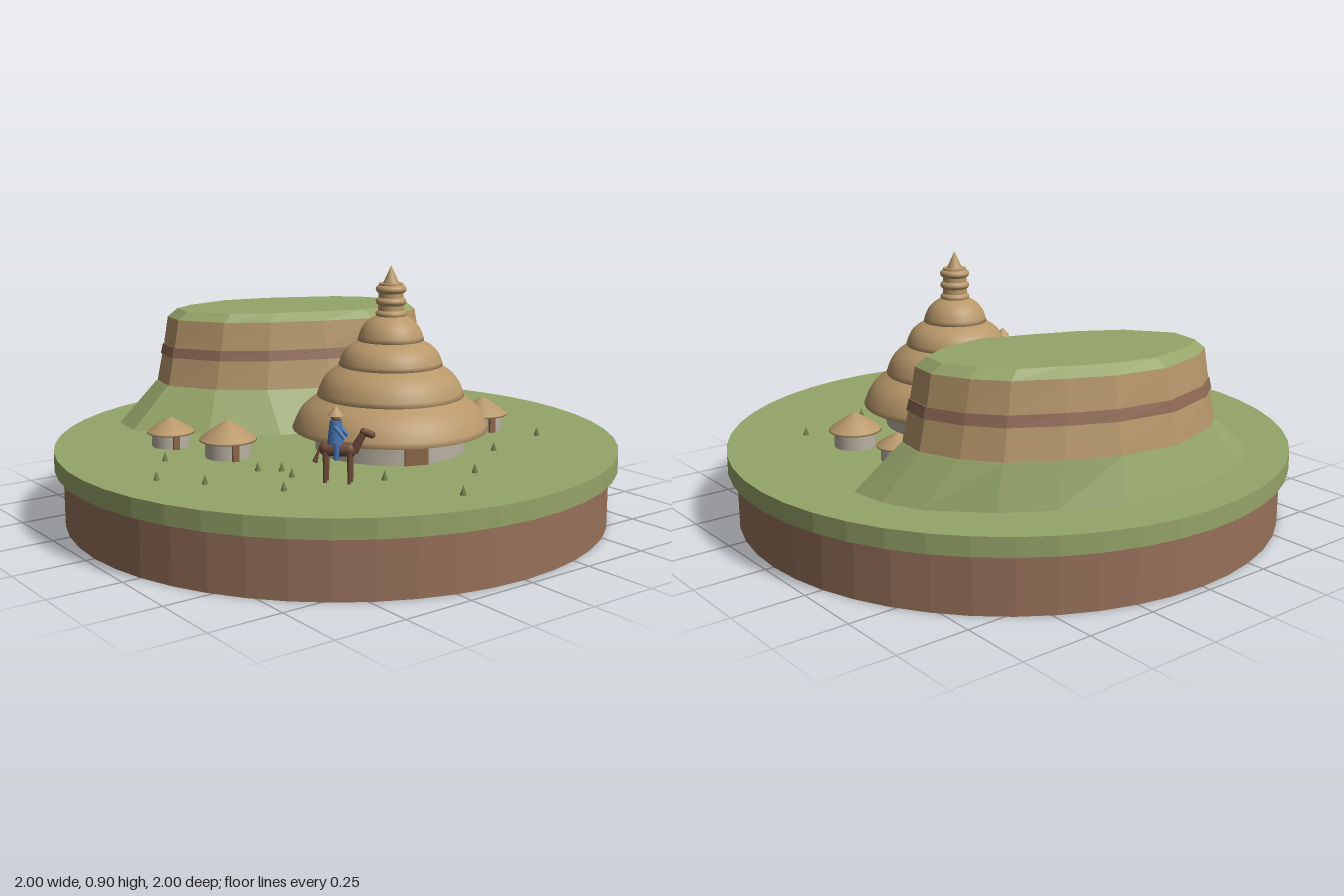
import * as THREE from 'three';

const mat = (name, color, opts = {}) => {
  const m = new THREE.MeshStandardMaterial({ color, ...opts });
  m.name = name;
  return m;
};

export function createModel() {
  const root = new THREE.Group();
  root.name = 'villageDiorama';
  const grass = mat('grass', 0x95a468, { flatShading: true });
  const earth = mat('earth', 0x96715a, { flatShading: true });
  const rock = mat('sandstone', 0xb5966a, { flatShading: true });
  const strata = mat('strata', 0x8f6a55, { flatShading: true });
  const thatch = mat('thatch', 0xb8986a);
  const plaster = mat('plaster', 0xb9b1a2);
  const wood = mat('wood', 0x8c6848);
  const hide = mat('horseHide', 0x704c3a);
  const cloth = mat('blueCloth', 0x4674b0);
  const leaf = mat('tuftGreen', 0x667a45);

  const G = 0.265; // ground height
  const add = (parent, name, geo, material, x = 0, y = 0, z = 0) => {
    const m = new THREE.Mesh(geo, material);
    m.name = name;
    m.position.set(x, y, z);
    parent.add(m);
    return m;
  };
  const lathe = (pts, seg = 40) =>
    new THREE.LatheGeometry(pts.map(([r, y]) => new THREE.Vector2(r, y)), seg);

  // Round base
  add(root, 'earthBase', new THREE.CylinderGeometry(0.97, 0.97, 0.2, 48), earth, 0, 0.1);
  add(root, 'grassDisc', new THREE.CylinderGeometry(1, 1, 0.065, 48), grass, 0, 0.2325);

  // Mesa: matching outlines of the foot and of the cliff, as [x, z]
  const foot = [[-0.545, -0.52], [-0.525, -0.665], [-0.41, -0.76], [-0.085, -0.85], [0.19, -0.815],
    [0.38, -0.71], [0.535, -0.61], [0.695, -0.45], [0.755, -0.32], [0.77, -0.185], [0.65, -0.09],
    [0.4, -0.01], [0.08, -0.04], [-0.15, -0.135], [-0.36, -0.29]].reverse();
  const cliff = [[-0.385, -0.535], [-0.36, -0.665], [-0.26, -0.735], [-0.05, -0.795], [0.165, -0.765],
    [0.33, -0.69], [0.49, -0.59], [0.575, -0.48], [0.63, -0.345], [0.615, -0.23], [0.49, -0.15],
    [0.3, -0.105], [0.085, -0.155], [-0.13, -0.25], [-0.28, -0.365]].reverse();
  const cx = 0.13, cz = -0.45;
  const inset = d => cliff.map(([x, z]) => {
    const k = 1 - d / Math.hypot(x - cx, z - cz);
    return [cx + (x - cx) * k, cz + (z - cz) * k];
  });
  const band = (parent, name, material, low, y0, high, y1, capped) => {
    const v = [];
    low.forEach((p, i) => {
      const j = (i + 1) % low.length;
      const a = [p[0], y0, p[1]], b = [low[j][0], y0, low[j][1]];
      const c = [high[j][0], y1, high[j][1]], d = [high[i][0], y1, high[i][1]];
      v.push(...a, ...b, ...c, ...a, ...c, ...d);
      if (capped) v.push(cx, y1, cz, ...d, ...c);
    });
    const g = new THREE.BufferGeometry();
    g.setAttribute('position', new THREE.Float32BufferAttribute(v, 3));
    g.computeVertexNormals();
    add(parent, name, g, material);
  };
  const mesa = new THREE.Group();
  mesa.name = 'mesa';
  root.add(mesa);
  band(mesa, 'mesaSlope', grass, foot, G, inset(-0.004), 0.41, true);
  band(mesa, 'lowerCliff', rock, inset(0), 0.41, inset(0.022), 0.52, true);
  band(mesa, 'strataBand', strata, inset(0.015), 0.515, inset(0.024), 0.552, true);
  band(mesa, 'upperCliff', rock, inset(0.028), 0.55, inset(0.045), 0.655, true);
  band(mesa, 'mesaTop', grass, inset(0.045), 0.655, inset(0.082), 0.685, true);

  // Great hut
  const great = new THREE.Group();
  great.name = 'greatHut';
  great.position.set(0.055, 0, 0.24);
  root.add(great);
  add(great, 'greatHutWall', new THREE.CylinderGeometry(0.26, 0.26, 0.1, 40), plaster, 0, G + 0.05);
  const tiers = [[0.34, 0.34], [0.255, 0.455], [0.18, 0.56], [0.115, 0.645], [0.05, 0.735]];
  for (let i = 0; i < 4; i++) {
    const [r0, y0] = tiers[i], [r1, y1] = tiers[i + 1];
    const pts = [[0, y0], [r0 - 0.012, y0]];
    for (let k = 0; k <= 8; k++) {
      const t = k / 8, b = 0.014 * Math.sin(Math.PI * t);
      pts.push([r0 + (r1 - 0.012 - r0) * t + b, y0 + (y1 - y0) * t + b * 0.7]);
    }
    add(great, 'thatchTier', lathe(pts, 48), thatch);
  }
  // Stacked finial
  add(great, 'finialPost', new THREE.CylinderGeometry(0.042, 0.045, 0.13, 24), thatch, 0, 0.775);
  for (const y of [0.735, 0.778, 0.82]) {
    const ring = add(great, 'finialRing', new THREE.SphereGeometry(0.053, 24, 12), thatch, 0, y);
    ring.scale.y = 0.44;
  }
  add(great, 'finialTip', new THREE.ConeGeometry(0.03, 0.065, 20), thatch, 0, 0.868);
  const door = (parent, r, w, h, angle) => {
    const d = add(parent, 'door', new THREE.BoxGeometry(w, h, 0.03), wood,
      Math.sin(angle) * r, G + h / 2, Math.cos(angle) * r);
    d.rotation.y = angle;
  };
  door(great, 0.252, 0.08, 0.075, -0.34);

  // Small huts: x, z, roof radius, eave height, peak height
  for (const [x, z, r, eave, peak] of [[-0.545, -0.24, 0.083, 0.312, 0.367], [-0.465, 0.01, 0.098, 0.322, 0.39],
    [0.51, 0.22, 0.092, 0.32, 0.383], [0.48, 0, 0.072, 0.312, 0.36]]) {
    const hut = new THREE.Group();
    hut.name = 'smallHut';
    hut.position.set(x, 0, z);
    root.add(hut);
    const h = eave + 0.006 - G;
    add(hut, 'hutWall', new THREE.CylinderGeometry(r * 0.8, r * 0.8, h, 28), plaster, 0, G + h / 2);
    add(hut, 'hutRoof', lathe([[0, eave], [r, eave], [r * 0.98, eave + 0.006], [r * 0.55, eave + (peak - eave) * 0.55],
      [r * 0.2, peak - 0.008], [0, peak]], 28), thatch);
    door(hut, r * 0.76, 0.022, h - 0.008, -0.25);
  }

  // Horse and rider, built facing +x and then turned
  const mount = new THREE.Group();
  mount.name = 'horseAndRider';
  mount.position.set(-0.36, 0, 0.5);
  mount.rotation.y = -0.86;
  root.add(mount);
  const body = add(mount, 'horseBody', new THREE.CapsuleGeometry(0.023, 0.075, 6, 14), hide, -0.005, 0.372);
  body.rotation.z = Math.PI / 2;
  for (const x of [-0.043, 0.035]) for (const z of [-0.015, 0.015])
    add(mount, 'horseLeg', new THREE.CylinderGeometry(0.008, 0.006, 0.1, 8), hide, x, G + 0.05, z);
  const neck = add(mount, 'horseNeck', new THREE.CylinderGeometry(0.011, 0.016, 0.075, 10), hide, 0.062, 0.4);
  neck.rotation.z = -0.5;
  const head = add(mount, 'horseHead', new THREE.CapsuleGeometry(0.012, 0.026, 4, 10), hide, 0.09, 0.428);
  head.rotation.z = 1.25;
  const tail = add(mount, 'horseTail', new THREE.ConeGeometry(0.009, 0.06, 8), hide, -0.07, 0.355);
  tail.rotation.z = -0.3;
  add(mount, 'riderRobe', new THREE.CylinderGeometry(0.019, 0.027, 0.075, 16), cloth, -0.012, 0.427);
  for (const s of [-1, 1]) {
    const arm = add(mount, 'riderArm', new THREE.CylinderGeometry(0.007, 0.007, 0.05, 8), cloth, 0.006, 0.43, s * 0.023);
    arm.rotation.z = 0.7;
    add(mount, 'riderLeg', new THREE.CylinderGeometry(0.009, 0.008, 0.055, 8), cloth, -0.005, 0.37, s * 0.025);
  }
  add(mount, 'riderHead', new THREE.SphereGeometry(0.016, 14, 10), wood, -0.012, 0.474);
  add(mount, 'riderHat', new THREE.ConeGeometry(0.027, 0.032, 18), thatch, -0.012, 0.496);

  // Grass tufts
  const tuft = new THREE.ConeGeometry(0.011, 0.032, 7);
  for (const [x, z] of [[-0.67, -0.06], [-0.81, 0.135], [-0.71, 0.265], [-0.49, 0.23], [-0.43, 0.28],
    [-0.445, 0.36], [-0.555, 0.475], [-0.23, 0.565], [-0.145, 0.84], [0.06, 0.67], [0.31, 0.495],
    [0.59, 0.425], [-0.305, 0.485], [-0.24, 0.4]])
    add(root, 'grassTuft', tuft, leaf, x, G + 0.015, z);

  return root;
}
